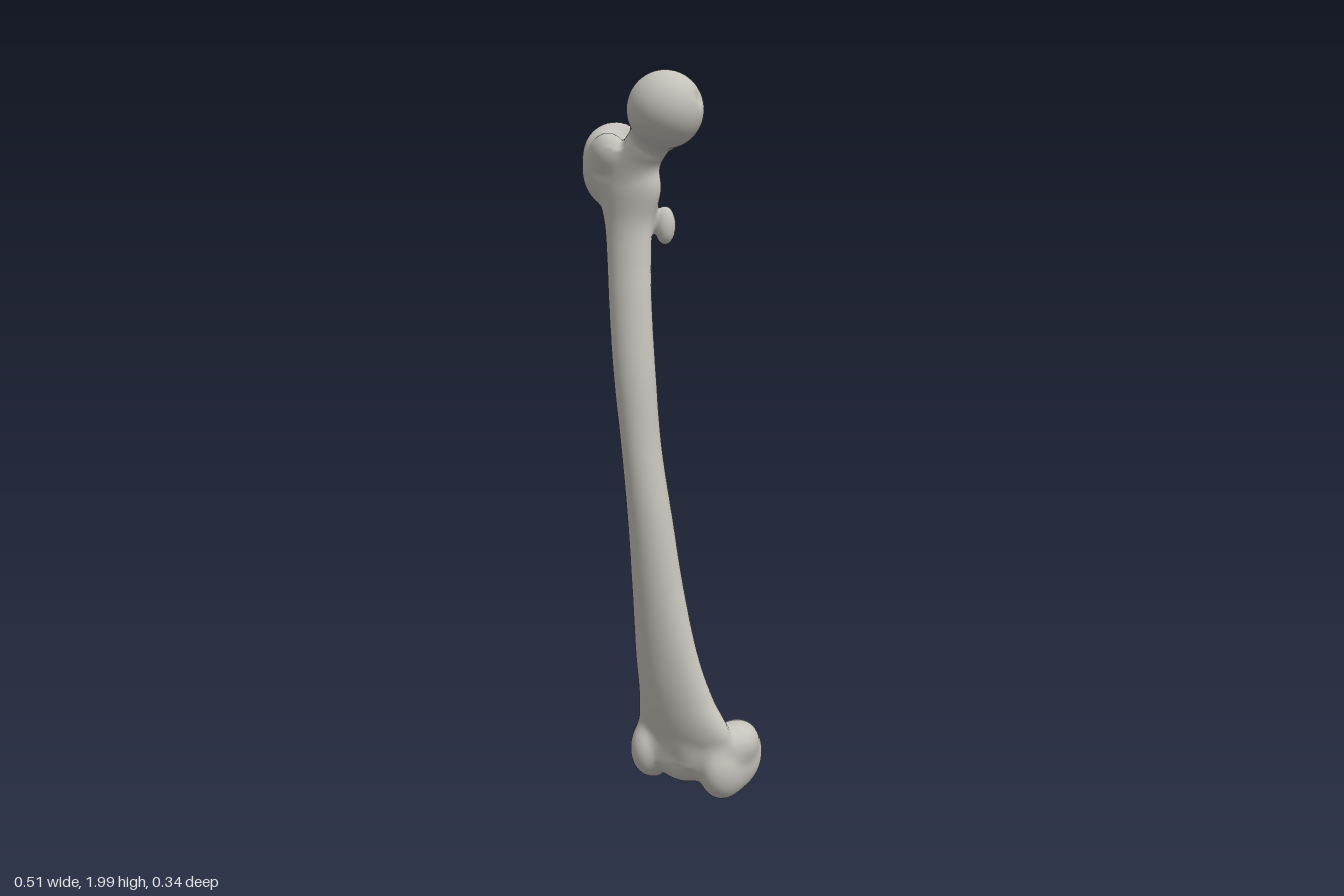
import * as THREE from 'three';

const BLEND = 0.024, CELL = 0.009;

// Shaft sections: height, then x and z extents
const sections = [
  [0.12, -0.05, 0.19, -0.04, 0.06], [0.2, -0.08, 0.215, -0.05, 0.085],
  [0.3, -0.07, 0.17, -0.03, 0.103], [0.4, -0.07, 0.135, -0.012, 0.113],
  [0.6, -0.072, 0.087, 0.0, 0.125], [0.8, -0.077, 0.055, 0.013, 0.135],
  [1.0, -0.092, 0.022, 0.022, 0.14], [1.2, -0.117, 0.005, 0.024, 0.14],
  [1.4, -0.145, -0.017, 0.013, 0.12], [1.5, -0.16, -0.027, 0.0, 0.105],
  [1.6, -0.177, -0.03, -0.012, 0.093], [1.7, -0.203, -0.005, -0.025, 0.096],
  [1.79, -0.21, -0.03, -0.03, 0.092],
];
const shaftShape = new THREE.CubicInterpolant(
  sections.map((s) => s[0]), sections.flatMap((s) => s.slice(1)), 4);

// Rounded masses: part, centre, radii, rotation
const masses = [
  ['head', [0.032, 1.898, 0.067], [0.102, 0.102, 0.102]],
  ['neck', [-0.04, 1.81, 0.05], [0.06, 0.13, 0.052], [0, 0, -0.675]],
  ['greaterTrochanter', [-0.187, 1.755, 0.02], [0.068, 0.1, 0.08]],
  ['greaterTrochanter', [-0.18, 1.803, -0.008], [0.04, 0.08, 0.088], [0, -0.7, 0]],
  ['greaterTrochanter', [-0.15, 1.795, 0.073], [0.048, 0.052, 0.042]],
  ['lesserTrochanter', [-0.02, 1.6, -0.01], [0.028, 0.052, 0.03]],
  ['innerCondyle', [0.178, 0.115, -0.09], [0.06, 0.093, 0.08]],
  ['innerCondyle', [0.17, 0.105, -0.03], [0.065, 0.1, 0.1]],
  ['innerCondyle', [0.192, 0.165, -0.05], [0.06, 0.058, 0.07]],
  ['outerCondyle', [-0.038, 0.115, -0.085], [0.053, 0.088, 0.077]],
  ['outerCondyle', [-0.045, 0.125, 0.0], [0.062, 0.093, 0.092]],
  ['kneeGroove', [0.06, 0.13, 0.02], [0.11, 0.083, 0.058]],
].map(([part, c, r, rot = [0, 0, 0]]) => ({
  part, c: new THREE.Vector3(...c), r: new THREE.Vector3(...r), reach: Math.max(...r) + 0.05,
  inv: new THREE.Matrix4().makeRotationFromEuler(new THREE.Euler(...rot)).invert(),
}));

// Shallow hollows: centre, radius, depth
const hollows = [
  [[0.13, 1.925, 0.05], 0.02, 0.009],
  [[-0.115, 1.86, 0.0], 0.03, 0.012],
  [[0.06, 0.06, -0.08], 0.04, 0.015],
  [[0.06, 0.12, 0.085], 0.04, 0.008],
].map(([c, r, d]) => [new THREE.Vector3(...c), r, d]);

const q = new THREE.Vector3();

function massDistance(m, p) {
  q.copy(p).sub(m.c);
  const far = q.length();
  if (far > m.reach + 0.05) return far - m.reach + 0.05;
  q.applyMatrix4(m.inv).divide(m.r);
  const k = q.length();
  return k < 1e-4 ? -0.05 : k * (k - 1) / q.divide(m.r).length();
}

// Rounded section, narrowing to a ridge along the back
function shaftDistance(p) {
  const [x0, x1, z0, z1] = shaftShape.evaluate(p.y);
  const rx = (x1 - x0) / 2, rz = (z1 - z0) / 2;
  const z = (p.z - (z0 + z1) / 2) / rz;
  const x = (p.x - (x0 + x1) / 2) / rx / (1 - 0.18 * Math.min(1, Math.max(0, -z)));
  const k = Math.hypot(x, z);
  const side = k < 1e-4 ? -rz : k * (k - 1) / Math.hypot(x / rx, z / rz);
  return Math.max(side, p.y - 1.79, 0.12 - p.y);
}

// Soft union of every mass
function field(p) {
  let d = shaftDistance(p);
  for (const m of masses) {
    const e = massDistance(m, p);
    const h = Math.max(BLEND - Math.abs(d - e), 0) / BLEND;
    d = Math.min(d, e) - h * h * BLEND / 4;
  }
  for (const [c, r, depth] of hollows) d += depth * Math.exp(-p.distanceToSquared(c) / (r * r));
  return d;
}

function gradient(p, out) {
  const e = 0.002, t = p.clone();
  for (const a of ['x', 'y', 'z']) {
    t[a] = p[a] + e;
    const hi = field(t);
    t[a] = p[a] - e;
    out[a] = (hi - field(t)) / (2 * e);
    t[a] = p[a];
  }
  return out;
}

function partAt(p) {
  let best = shaftDistance(p), name = 'shaft';
  for (const m of masses) {
    const d = massDistance(m, p);
    if (d < best) { best = d; name = m.part; }
  }
  return name;
}

// Skin the field: one point per surface cell, one quad per crossed grid edge
function skin() {
  const lo = [-0.3, -0.04, -0.21];
  const n = [0.6, 2.08, 0.42].map((s) => Math.ceil(s / CELL));
  const step = [1, n[0], n[0] * n[1]];
  const values = new Float32Array(n[0] * n[1] * n[2]);
  const p = new THREE.Vector3(), g = new THREE.Vector3();
  const each = (from, fn) => {
    for (let k = from; k < n[2] - from; k++)
      for (let j = from; j < n[1] - from; j++)
        for (let i = from; i < n[0] - from; i++) fn(i, j, k, i + j * step[1] + k * step[2]);
  };
  each(0, (i, j, k, id) => {
    values[id] = field(p.set(lo[0] + i * CELL, lo[1] + j * CELL, lo[2] + k * CELL));
  });

  const points = new Map();
  const pointOf = (id) => {
    if (!points.has(id)) {
      const i = id % n[0], j = Math.floor(id / n[0]) % n[1], k = Math.floor(id / step[2]);
      const v = new THREE.Vector3(i + 0.5, j + 0.5, k + 0.5).multiplyScalar(CELL);
      v.add(p.fromArray(lo));
      for (let s = 0; s < 4; s++) {
        gradient(v, g);
        const move = -field(v) / Math.max(g.lengthSq(), 0.2);
        v.addScaledVector(g, THREE.MathUtils.clamp(move, -CELL / 2, CELL / 2));
      }
      points.set(id, { v, normal: gradient(v, g).clone().normalize() });
    }
    return points.get(id);
  };

  const parts = {};
  each(1, (i, j, k, id) => {
    for (let a = 0; a < 3; a++) {
      const inside = values[id] < 0;
      if (inside === values[id + step[a]] < 0) continue;
      const b = step[(a + 1) % 3], c = step[(a + 2) % 3];
      const quad = [id, id - b, id - b - c, id - c].map(pointOf);
      if (!inside) quad.reverse();
      const mid = new THREE.Vector3();
      quad.forEach((o) => mid.addScaledVector(o.v, 0.25));
      const part = (parts[partAt(mid)] ??= { ids: new Map(), pos: [], nor: [], index: [] });
      const [A, B, C, D] = quad.map((o) => {
        if (!part.ids.has(o)) {
          part.ids.set(o, part.ids.size);
          part.pos.push(o.v.x, o.v.y, o.v.z);
          part.nor.push(o.normal.x, o.normal.y, o.normal.z);
        }
        return part.ids.get(o);
      });
      part.index.push(A, B, C, A, C, D);
    }
  });
  return parts;
}

export function createModel() {
  const group = new THREE.Group();
  group.name = 'thighBone';
  const bone = new THREE.MeshStandardMaterial({ color: 0xc4c2ba });
  bone.name = 'bone grey';
  for (const [name, part] of Object.entries(skin())) {
    const geometry = new THREE.BufferGeometry();
    geometry.setAttribute('position', new THREE.Float32BufferAttribute(part.pos, 3));
    geometry.setAttribute('normal', new THREE.Float32BufferAttribute(part.nor, 3));
    geometry.setIndex(part.index);
    const mesh = new THREE.Mesh(geometry, bone);
    mesh.name = name;
    group.add(mesh);
  }
  return group;
}
